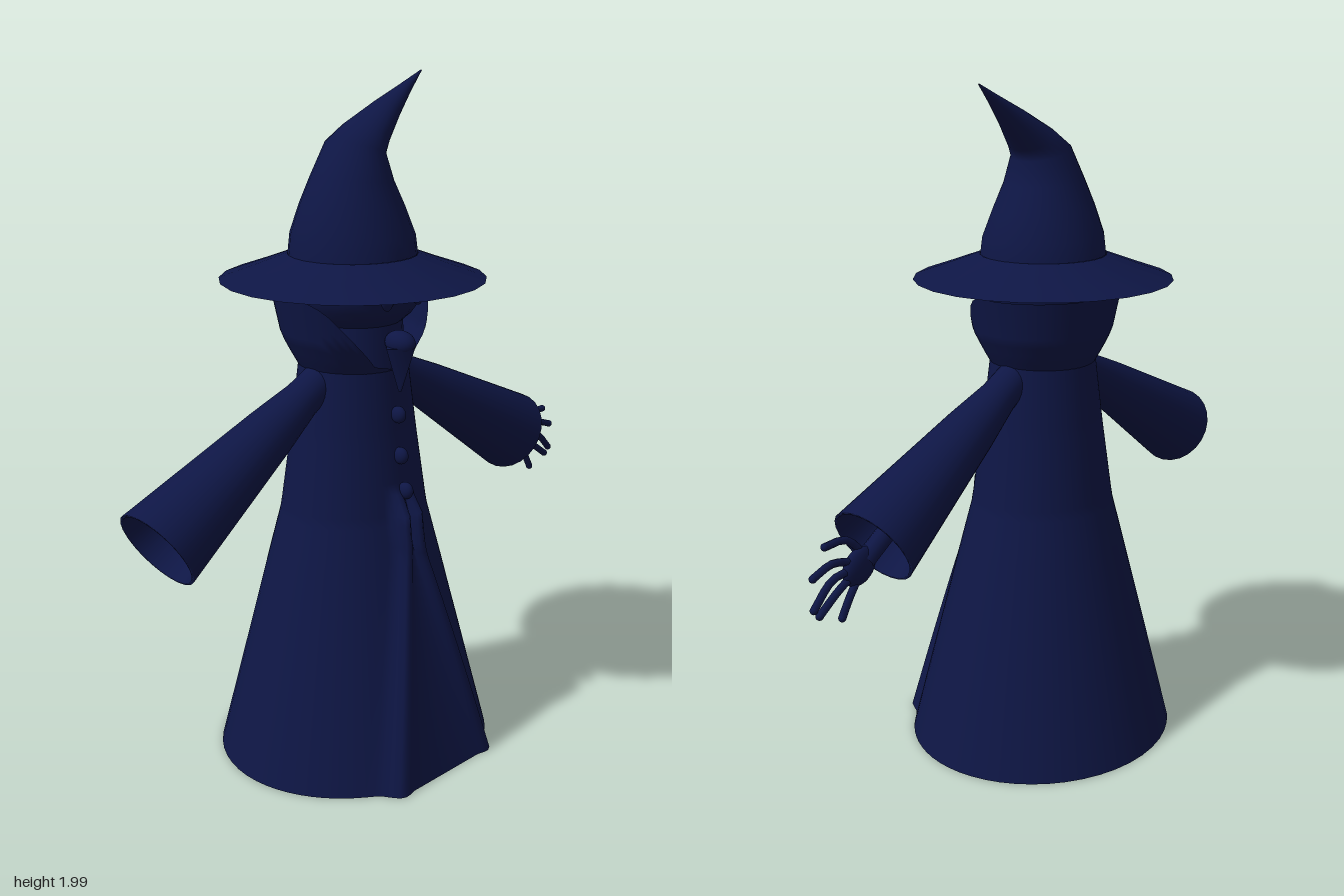
import * as THREE from 'three';
import { ParametricGeometry } from 'three/addons/geometries/ParametricGeometry.js';

const CX = -0.08, CZ = 0.005; // axis of the figure
const mat = new THREE.MeshStandardMaterial({ color: 0x0e1645, side: THREE.DoubleSide });

function add(parent, name, geo, x = 0, y = 0, z = 0) {
  const mesh = new THREE.Mesh(geo, mat);
  mesh.name = name;
  mesh.position.set(x, y, z);
  parent.add(mesh);
  return mesh;
}

// Linear look-up in a list of [position, value] pairs
function lookup(table, y) {
  for (let i = 1; i < table.length; i++) {
    const [a, p] = table[i - 1], [b, q] = table[i];
    if (y <= b) return p + (q - p) * Math.max(0, (y - a) / (b - a));
  }
  return table[table.length - 1][1];
}

// Skin over rings given as [leftX, leftY, rightX, rightY, depth]
function ringSkin(rings, sides = 24) {
  return new ParametricGeometry((u, v, p) => {
    const r = rings[Math.round(v * (rings.length - 1))] ;
    const a = u * Math.PI * 2, m = (1 + Math.sin(a)) / 2;
    p.set(r[0] + (r[2] - r[0]) * m, r[1] + (r[3] - r[1]) * m, CZ + r[4] * Math.cos(a));
  }, sides, rings.length - 1);
}

function smoothRings(rings) {
  const g = ringSkin(rings);
  // average normals over the faces, then join the seam
  g.computeVertexNormals();
  const n = g.attributes.normal, row = 25;
  for (let i = 0; i < rings.length; i++) {
    const a = i * row, b = a + row - 1;
    const s = new THREE.Vector3(n.getX(a) + n.getX(b), n.getY(a) + n.getY(b), n.getZ(a) + n.getZ(b)).normalize();
    n.setXYZ(a, s.x, s.y, s.z);
    n.setXYZ(b, s.x, s.y, s.z);
  }
  return g;
}

function tube(points, radius, sides = 7) {
  const curve = new THREE.CatmullRomCurve3(points.map(p => new THREE.Vector3(...p)));
  return new THREE.TubeGeometry(curve, 6, radius, sides);
}

function ellipsoid(rx, ry, rz) {
  return new THREE.SphereGeometry(1, 24, 16).scale(rx, ry, rz);
}

function makeRobe(group) {
  const profile = [[0.01, 0.425], [0.65, 0.255], [0.76, 0.225], [1, 0.19], [1.2, 0.165]];
  // Outer robe, split at the front with raised folds along the split
  add(group, 'robe', new ParametricGeometry((u, v, p) => {
    const y = 0.01 + 1.19 * v, t = u * 2 - 1, r = lookup(profile, y);
    const gap = Math.asin(0.135 * Math.max(0, 0.68 - y) / 0.67 / r);
    const d = (Math.PI - gap) * Math.pow(Math.abs(t), 1.6);
    const fold = lookup([[0, 0.035], [0.65, 0.03], [0.78, 0.05], [0.87, 0]], y)
      * Math.exp(-Math.pow((d - 0.1) / 0.1, 2));
    const a = Math.sign(t || 1) * (gap + d);
    p.set(CX + (r + fold) * Math.sin(a), y, CZ + (r * 0.92 + fold) * Math.cos(a));
  }, 63, 40));

  // Under-robe seen through the split
  const under = [[0.34, 0.02], [0.375, 0.02], [0.23, 0.66], [0.19, 0.85]].map(p => new THREE.Vector2(...p));
  add(group, 'underRobe', new THREE.LatheGeometry(under, 32).scale(1, 1, 0.92), CX, 0, CZ);
  const lining = [[0.34, 0.02], [0.34, 0.12], [0.2, 0.66]].map(p => new THREE.Vector2(...p));
  add(group, 'lining', new THREE.LatheGeometry(lining, 32).scale(1, 1, 0.92), CX, 0, CZ);

  // Buttons down the chest
  for (const [y, z] of [[1.07, 0.18], [0.95, 0.19], [0.85, 0.21]])
    add(group, 'button', ellipsoid(0.018, 0.025, 0.025), CX, y, z + CZ);
}

function makeCollar(group) {
  // Flared collar, high at the back and sides, dipping at the throat
  const flare = [[0, 0.16], [0.2, 0.185], [0.45, 0.213], [1, 0.238]];
  add(group, 'collar', new ParametricGeometry((u, v, p) => {
    const a = u * Math.PI * 2, off = Math.min(a, Math.PI * 2 - a);
    const rise = lookup([[0, 0.04], [0.4, 0.12], [1.1, 0.9], [1.3, 1], [4, 1]], off);
    const h = v * rise, r = lookup(flare, h);
    p.set(CX + r * Math.sin(a), 1.19 + 0.215 * h, CZ + r * 0.94 * Math.cos(a));
  }, 48, 8));
  add(group, 'neck', new THREE.CylinderGeometry(0.14, 0.155, 0.2, 24), CX, 1.25, CZ);

  // Neckerchief: knot with a pointed end
  add(group, 'knot', ellipsoid(0.035, 0.035, 0.05), CX, 1.28, 0.19);
  const point = new THREE.CylinderGeometry(0.055, 0.006, 0.13, 4);
  add(group, 'neckerchief', point, CX, 1.205, 0.19);
}

function makeHead(group) {
  add(group, 'head', ellipsoid(0.2, 0.15, 0.205), CX, 1.43, CZ);
  for (const s of [-1, 1])
    add(group, 'eye', ellipsoid(0.025, 0.04, 0.012), CX + s * 0.062, 1.42, 0.2);
}

function makeHat(group) {
  add(group, 'hatBrim', smoothRings([
    [-0.46, 1.44, 0.3, 1.44, 0.38], [-0.36, 1.475, 0.2, 1.475, 0.28], [-0.265, 1.51, 0.105, 1.51, 0.185],
  ]));
  add(group, 'brimUnderside', ringSkin([[-0.24, 1.442, 0.08, 1.442, 0.16], [-0.46, 1.44, 0.3, 1.44, 0.38]]));
  // Crown bending over to the tip
  add(group, 'hatCrown', smoothRings([
    [-0.265, 1.51, 0.105, 1.51, 0.183], [-0.26, 1.57, 0.1, 1.56, 0.175], [-0.235, 1.65, 0.07, 1.64, 0.145],
    [-0.2, 1.725, 0.035, 1.71, 0.118], [-0.145, 1.825, 0.01, 1.78, 0.092], [-0.08, 1.87, 0.03, 1.81, 0.075],
    [0.03, 1.925, 0.085, 1.875, 0.045], [0.12, 1.965, 0.145, 1.94, 0.02], [0.198, 2, 0.2, 1.997, 0.002],
  ]));
}

function makeSleeve(group, side) {
  // Hollow sleeve widening to the cuff, with a turned-in lining
  const sleeve = new THREE.Group();
  sleeve.name = side > 0 ? 'leftSleeve' : 'rightSleeve';
  const outline = [[0.052, -0.04], [0.055, 0.06], [0.075, 0.2], [0.128, 0.66], [0.12, 0.66], [0.07, 0.32], [0, 0.3]];
  add(sleeve, 'sleeve', new THREE.LatheGeometry(outline.map(p => new THREE.Vector2(...p)), 24));
  sleeve.position.set(CX + side * 0.155, 1.15, CZ);
  const dir = new THREE.Vector3(side * 0.866, -0.5, 0);
  sleeve.quaternion.setFromUnitVectors(new THREE.Vector3(0, 1, 0), dir);
  group.add(sleeve);
}

function makeHand(group) {
  const hand = new THREE.Group();
  hand.name = 'leftHand';
  add(hand, 'wrist', tube([[0.45, 0.93, CZ], [0.58, 0.855, CZ], [0.68, 0.79, CZ]], 0.028, 10));
  const palm = add(hand, 'palm', ellipsoid(0.06, 0.05, 0.024), 0.7, 0.78, CZ);
  palm.rotation.z = -0.5;
  // Thumb, then the four fingers: base, knuckle and tip
  const fingers = [
    [0.68, 0.81, 0.73, 0.86, 0.805, 0.863], [0.72, 0.8, 0.79, 0.815, 0.86, 0.795],
    [0.73, 0.78, 0.8, 0.77, 0.865, 0.71], [0.73, 0.76, 0.785, 0.735, 0.85, 0.69],
    [0.7, 0.755, 0.745, 0.71, 0.775, 0.66],
  ];
  fingers.forEach(([a, b, c, d, e, f], i) => {
    const z = CZ + (i === 0 ? 0.015 : -0.004 * (i - 2));
    add(hand, i ? 'finger' : 'thumb', tube([[a, b, CZ], [c, d, z], [e, f, z]], 0.011));
    add(hand, 'fingertip', ellipsoid(0.011, 0.011, 0.011), e, f, z);
  });
  group.add(hand);
}

export function createModel() {
  const group = new THREE.Group();
  group.name = 'wizard';
  makeRobe(group);
  makeCollar(group);
  makeHead(group);
  makeHat(group);
  for (const side of [-1, 1]) makeSleeve(group, side);
  makeHand(group);
  return group;
}
